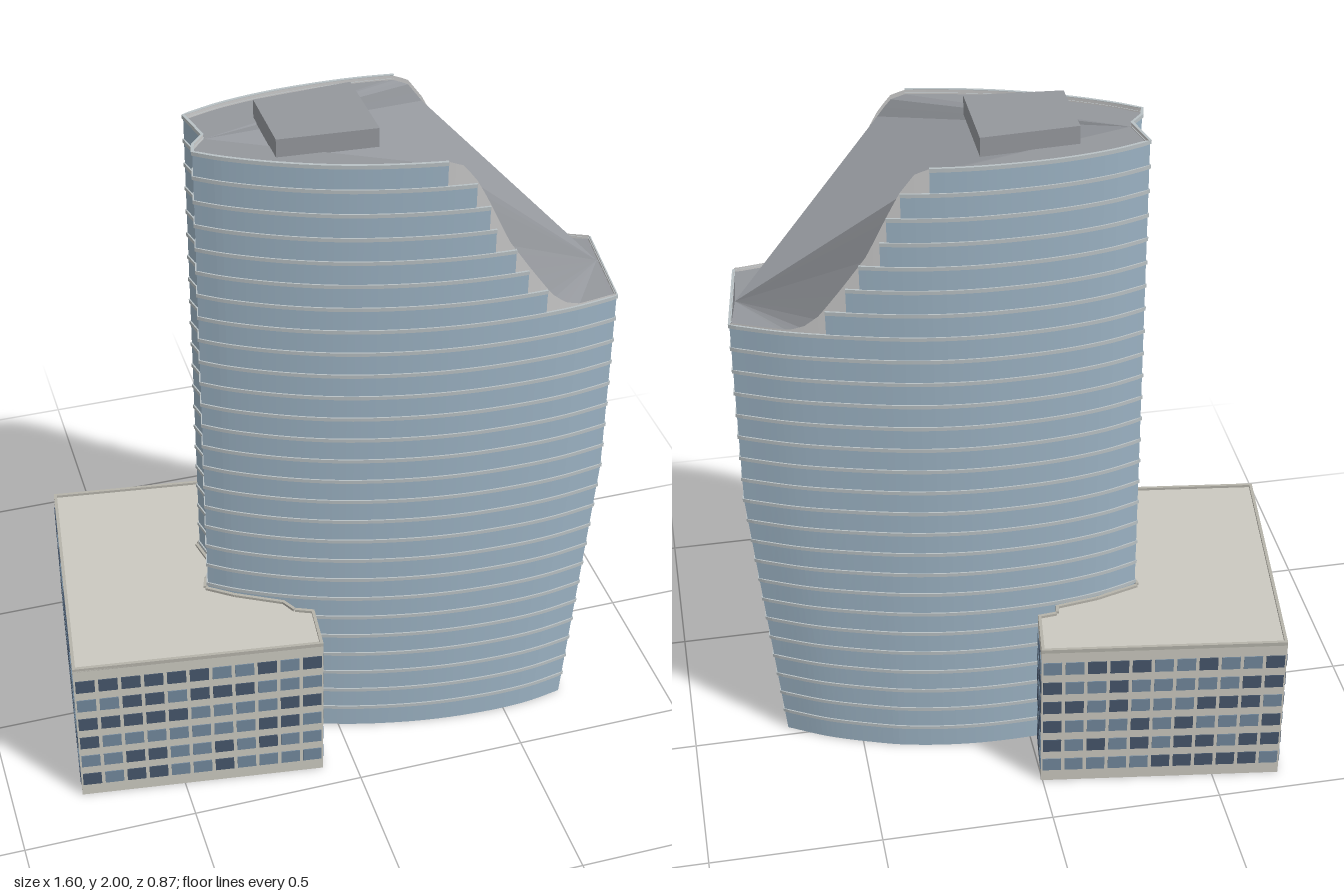
import * as THREE from 'three';

const FLOOR = 0.0725, FLOORS = 27, BEND = 0.87;

const mat = (color, extra = {}) => new THREE.MeshStandardMaterial({ color, ...extra });

// Tower plan, running notch -> front -> right end -> back -> notch, as [x, z]
const spline = (pts, n) => new THREE.CatmullRomCurve3(pts.map(([x, z]) => new THREE.Vector3(x, 0, z)))
  .getSpacedPoints(n).map(p => [p.x, p.z]);
const front = spline([[-0.347, 0.1], [-0.28, 0.145], [-0.15, 0.212], [0, 0.27], [0.17, 0.313],
  [0.33, 0.337], [0.5, 0.345], [0.63, 0.34], [0.757, 0.322]], 60);
const back = spline([[0.793, 0.033], [0.65, -0.03], [0.5, -0.078], [0.33, -0.121], [0.2, -0.14],
  [0.08, -0.146], [-0.08, -0.14], [-0.22, -0.118], [-0.325, -0.086]], 60);
const plan = [[-0.302, 0.025], [-0.338, 0.065], ...front, ...back];
const N = plan.length;

// Outward direction at each plan point
const out = plan.map((p, i) => {
  const a = plan[(i + N - 1) % N], b = plan[(i + 1) % N];
  const tx = b[0] - a[0], tz = b[1] - a[1], l = Math.hypot(tx, tz);
  return [-tz / l, tx / l];
});

// Height of the sweeping roof line at x
const SWEEP = [[0.26, 1.96], [0.3, 1.945], [0.34, 1.89], [0.37, 1.83], [0.43, 1.7],
  [0.5, 1.595], [0.56, 1.51], [0.6, 1.475], [0.64, 1.46]];
function roofLine(x) {
  if (x <= SWEEP[0][0]) return 1.96;
  for (let i = 1; i < SWEEP.length; i++) {
    const [x0, y0] = SWEEP[i - 1], [x1, y1] = SWEEP[i];
    if (x <= x1) return y0 + (y1 - y0) * (x - x0) / (x1 - x0);
  }
  return 1.46;
}

// Point on the tower skin; the right end draws in below the bend
function skin(i, y, off = 0) {
  const k = i % N;
  let x = plan[k][0];
  if (x > 0.4) x -= 0.075 * Math.max(0, 1 - y / BEND) * (x - 0.4) / 0.39;
  return [x + out[k][0] * off, y, plan[k][1] + out[k][1] * off];
}

const quad = (list, a, b, c, d) => list.push(...a, ...b, ...c, ...a, ...c, ...d);

function surface(name, list, material) {
  const g = new THREE.BufferGeometry();
  g.setAttribute('position', new THREE.Float32BufferAttribute(list, 3));
  g.computeVertexNormals();
  const m = new THREE.Mesh(g, material);
  m.name = name;
  return m;
}

// Prism with an [x, z] outline
function prism(name, outline, y0, y1, material) {
  const s = new THREE.Shape(outline.map(([x, z]) => new THREE.Vector2(x, -z)));
  const g = new THREE.ExtrudeGeometry(s, { depth: y1 - y0, bevelEnabled: false });
  g.rotateX(-Math.PI / 2).translate(0, y0, 0);
  const m = new THREE.Mesh(g, material);
  m.name = name;
  return m;
}

function createTower() {
  const tower = new THREE.Group();
  tower.name = 'tower';
  const glass = [], bands = [], wall = [], roof = [];
  const low = i => Math.min(roofLine(plan[i][0]), roofLine(plan[(i + 1) % N][0]));

  for (let i = 0; i < N; i++) {
    // Glass storeys, stepping down beneath the roof line
    for (let f = 0; f < FLOORS; f++) {
      const y0 = f * FLOOR, y1 = y0 + FLOOR;
      if (low(i) < y1) break;
      quad(glass, skin(i, y0), skin(i + 1, y0), skin(i + 1, y1), skin(i, y1));
    }
    // Projecting floor bands
    for (let f = 1; f <= FLOORS; f++) {
      const y0 = f * FLOOR - 0.006, y1 = y0 + 0.011;
      if (low(i) < f * FLOOR) break;
      const a = skin(i, y0, 0.004), b = skin(i + 1, y0, 0.004);
      const c = skin(i + 1, y1, 0.004), d = skin(i, y1, 0.004);
      quad(bands, a, b, c, d);
      quad(bands, d, c, skin(i + 1, y1, -0.004), skin(i, y1, -0.004));
      quad(bands, skin(i, y0, -0.004), skin(i + 1, y0, -0.004), b, a);
    }
    // Plain parapet wall up to the roof line
    quad(wall, skin(i, 1.44, -0.002), skin(i + 1, 1.44, -0.002),
      skin(i + 1, roofLine(plan[(i + 1) % N][0]), -0.002), skin(i, roofLine(plan[i][0]), -0.002));
  }

  // Folded roof: fans from the notch and from the low end, meeting in a valley
  const rp = i => skin(i, roofLine(plan[i % N][0]) - 0.012, -0.004);
  const tri = (a, b, c) => roof.push(...a, ...b, ...c);
  const F = plan.findIndex(p => p[0] >= 0.33);
  const B = N - 1 - [...plan].reverse().findIndex(p => p[0] >= 0.33);
  const P = rp(0), A = [0.768, 1.455, 0.15];
  for (let i = 1; i < N - 1; i++) {
    if (i >= F && i < B) tri(rp(i), rp(i + 1), A);
    else tri(P, rp(i), rp(i + 1));
  }
  tri(P, rp(F), A);
  tri(P, A, rp(B));

  const two = { side: THREE.DoubleSide };
  tower.add(
    surface('glassWall', glass, mat(0x9db4c5, two)),
    surface('floorBands', bands, mat(0xb9c1c4, two)),
    surface('parapetWall', wall, mat(0xcccccc, two)),
    surface('foldedRoof', roof, mat(0x94979c, two)),
    prism('roofPlantRoom', [[-0.148, -0.045], [-0.146, 0.165], [0.122, 0.184], [0.12, -0.063]],
      1.945, 2, mat(0x94979c)));
  return tower;
}

function createAnnex() {
  const annex = new THREE.Group();
  annex.name = 'annex';
  const cream = mat(0xcbc9c0), coping = mat(0xb5b3aa);
  const panes = [mat(0x46566b), mat(0x72889c)];
  // Plan wraps round the narrow end of the tower
  const outline = [[-0.798, 0.336], [-0.095, 0.43], [-0.08, 0.287], [-0.13, 0.265], [-0.152, 0.225],
    [-0.28, 0.155], [-0.352, 0.103], [-0.342, 0.07], [-0.305, 0.025], [-0.328, -0.09], [-0.2, -0.127],
    [-0.075, -0.145], [-0.07, -0.175], [-0.016, -0.18], [0.005, -0.34], [-0.695, -0.435]];
  annex.add(prism('annexBody', outline, 0, 0.492, cream));

  let seed = 7;
  const rand = () => (seed = (seed * 16807) % 2147483647) / 2147483647;
  const windowed = { 0: 11, 1: 2, 13: 3, 14: 11, 15: 12 };

  outline.forEach(([x0, z0], e) => {
    const [x1, z1] = outline[(e + 1) % outline.length];
    const len = Math.hypot(x1 - x0, z1 - z0);
    const side = new THREE.Group();
    side.name = 'annexSide';
    side.position.set((x0 + x1) / 2, 0, (z0 + z1) / 2);
    side.rotation.y = -Math.atan2(z1 - z0, x1 - x0);

    // Roof edge
    const rim = new THREE.Mesh(new THREE.BoxGeometry(len, 0.012, 0.009), coping);
    rim.name = 'roofEdge';
    rim.position.set(0, 0.494, -0.0045);
    side.add(rim);

    // Six rows of windows on the street sides
    const cols = windowed[e] || 0, step = len / cols;
    for (let r = 0; r < 6 && cols; r++) {
      for (let c = 0; c < cols; c++) {
        const w = new THREE.Mesh(new THREE.BoxGeometry(step * 0.84, 0.044, 0.005), panes[rand() < 0.5 ? 0 : 1]);
        w.name = 'window';
        w.position.set((c + 0.5) * step - len / 2, 0.063 + r * 0.0735, 0);
        side.add(w);
      }
    }
    annex.add(side);
  });
  return annex;
}

export function createModel() {
  const model = new THREE.Group();
  model.name = 'officeTower';
  model.add(createTower(), createAnnex());
  return model;
}
